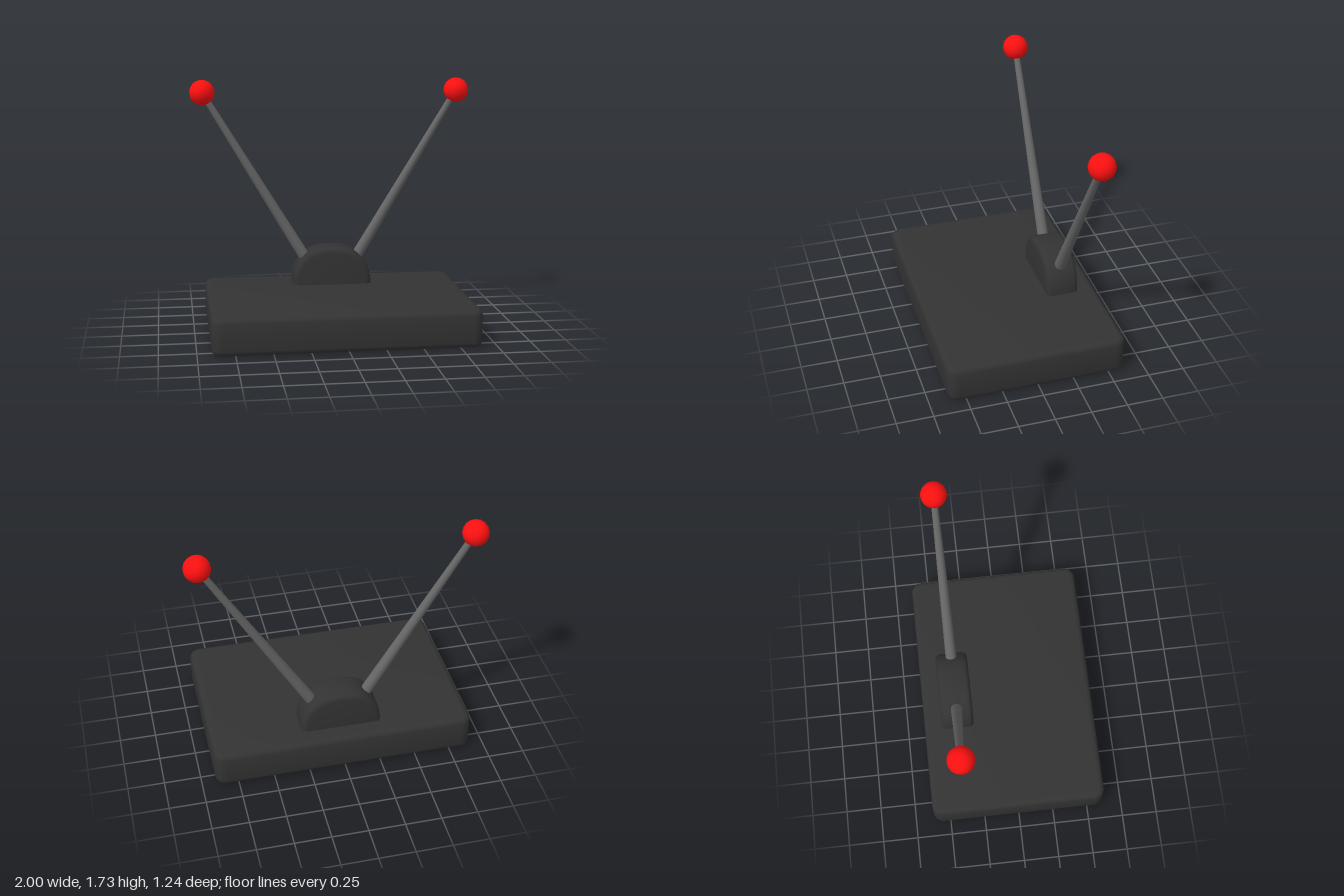
import * as THREE from 'three';
import { toCreasedNormals } from 'three/addons/utils/BufferGeometryUtils.js';

const dark = new THREE.MeshStandardMaterial({ color: 0x333333 });
const metal = new THREE.MeshStandardMaterial({ color: 0x666666 });
const red = new THREE.MeshStandardMaterial({ color: 0xff1010 });

function part(name, geometry, material) {
  const mesh = new THREE.Mesh(geometry, material);
  mesh.name = name;
  return mesh;
}

// Extrudes a full-size outline to a total depth, rounding its rims inwards
function softExtrude(shape, depth, bevel) {
  const geo = new THREE.ExtrudeGeometry(shape, {
    depth: depth - 2 * bevel, bevelEnabled: true, bevelThickness: bevel,
    bevelSize: bevel, bevelOffset: -bevel, bevelSegments: 3, curveSegments: 4,
  });
  geo.translate(0, 0, bevel - depth / 2);
  return toCreasedNormals(geo, 0.8);
}

function roundedRect(w, h, r) {
  const s = new THREE.Shape();
  s.absarc(w - r, h - r, r, 0, Math.PI / 2);
  s.absarc(r - w, h - r, r, Math.PI / 2, Math.PI);
  s.absarc(r - w, r - h, r, Math.PI, Math.PI * 1.5);
  s.absarc(w - r, r - h, r, Math.PI * 1.5, Math.PI * 2);
  return s;
}

export function createModel() {
  const model = new THREE.Group();
  const z = -0.375;

  // Flat box with softened edges
  const base = part('base', softExtrude(roundedRect(0.905, 0.62, 0.075), 0.255, 0.037), dark);
  base.rotation.x = -Math.PI / 2;
  base.position.y = 0.1275;
  model.add(base);

  // Half-round mount, its foot sunk into the base
  const half = [[0.28, 0.14], [0.28, 0.28], [0.273, 0.335], [0.255, 0.385],
    [0.228, 0.43], [0.19, 0.47], [0.145, 0.5], [0.085, 0.517]];
  const outline = [...half, [0, 0.522], ...half.map(([x, y]) => [-x, y]).reverse()];
  const dome = new THREE.Shape(outline.map(([x, y]) => new THREE.Vector2(x, y)));
  const mount = part('mount', softExtrude(dome, 0.23, 0.035), dark);
  mount.position.z = z;
  model.add(mount);

  // Mirrored pair of tapered rods with ball tips
  for (const [side, label] of [[1, 'left'], [-1, 'right']]) {
    const foot = new THREE.Vector3(side * 0.165, 0.4, z);
    const tip = new THREE.Vector3(side * 0.91, 1.638, z);
    const dir = tip.clone().sub(foot);
    const rod = part(label + 'Rod', new THREE.CylinderGeometry(0.022, 0.041, dir.length(), 12), metal);
    rod.position.copy(foot).add(tip).multiplyScalar(0.5);
    rod.quaternion.setFromUnitVectors(new THREE.Vector3(0, 1, 0), dir.normalize());
    const ball = part(label + 'Ball', new THREE.IcosahedronGeometry(0.09, 2), red);
    ball.position.copy(tip);
    model.add(rod, ball);
  }
  return model;
}
